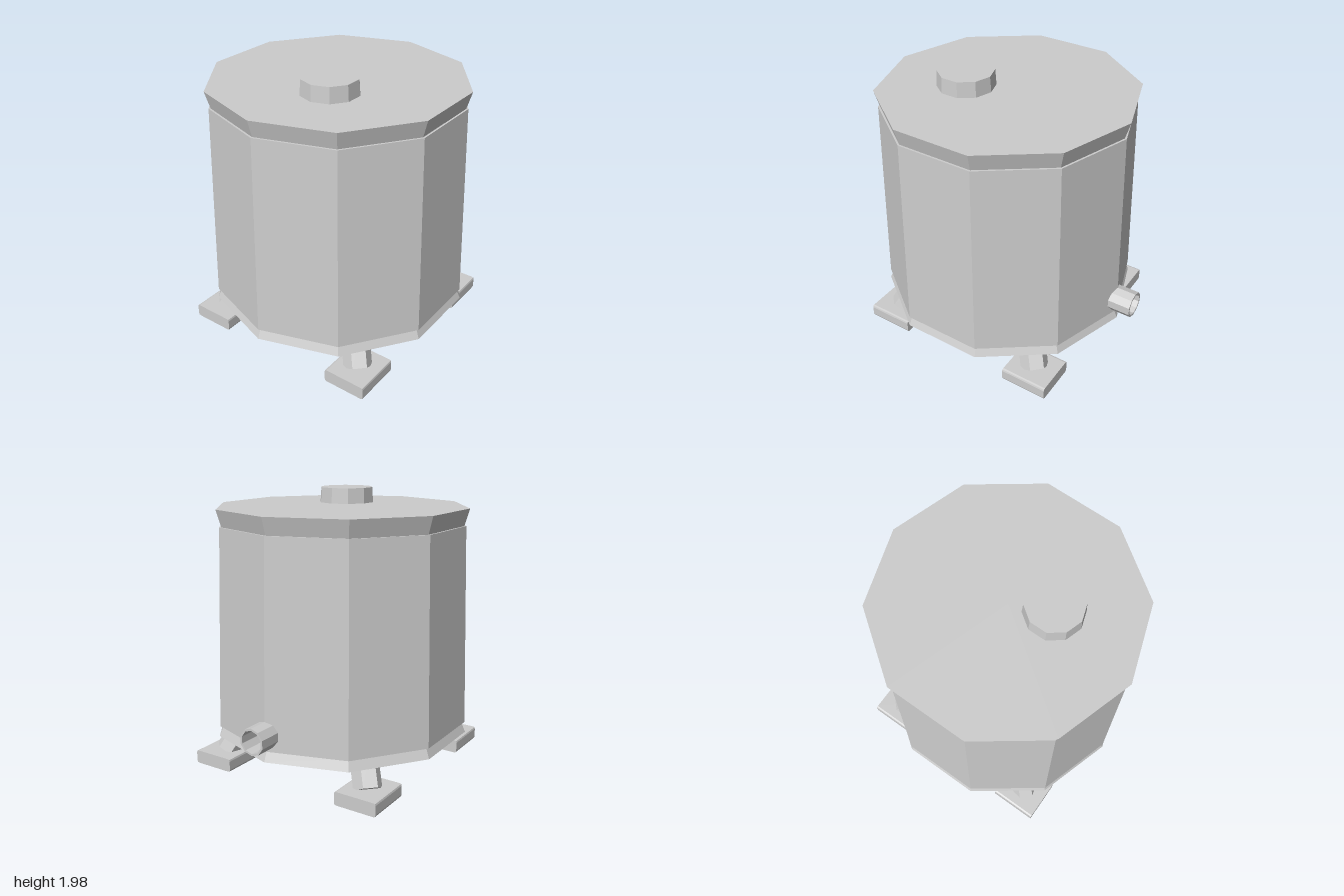
import * as THREE from 'three';

const CX = -0.0625; // tank axis, offset by the outlet pipe
const SIDES = 10;

const steel = new THREE.MeshStandardMaterial({ color: 0xcccccc, flatShading: true });
steel.name = 'light grey steel';

function add(parent, name, geometry, x = 0, y = 0, z = 0) {
  const mesh = new THREE.Mesh(geometry, steel);
  mesh.name = name;
  mesh.position.set(x, y, z);
  parent.add(mesh);
  return mesh;
}

// Ten-sided frustum between two heights, with a corner on the x axis
function drum(rBottom, rTop, y0, y1) {
  return new THREE.CylinderGeometry(rTop, rBottom, y1 - y0, SIDES, 1, false, Math.PI / 2)
    .translate(0, (y0 + y1) / 2, 0);
}

// Foot pad: rounded section in z/y, extruded along x
function padGeometry(w, h, d, r) {
  const a = d / 2;
  const s = new THREE.Shape();
  s.moveTo(-a + r, 0);
  s.lineTo(a - r, 0);
  s.quadraticCurveTo(a, 0, a, r);
  s.lineTo(a, h - r);
  s.quadraticCurveTo(a, h, a - r, h);
  s.lineTo(-a + r, h);
  s.quadraticCurveTo(-a, h, -a, h - r);
  s.lineTo(-a, r);
  s.quadraticCurveTo(-a, 0, -a + r, 0);
  return new THREE.ExtrudeGeometry(s, { depth: w, bevelEnabled: false, curveSegments: 2 })
    .translate(0, 0, -w / 2)
    .rotateY(Math.PI / 2);
}

export function createModel() {
  const model = new THREE.Group();
  model.name = 'storageTank';

  // Tapered tank with flared rims at both ends
  add(model, 'bottomRim', drum(0.937, 0.905, 0.25, 0.325), CX);
  add(model, 'tankBody', drum(0.93, 0.884, 0.325, 1.75), CX);
  add(model, 'topRim', drum(0.87, 0.905, 1.75, 1.87), CX);

  // Filler cap on the lid
  add(model, 'fillerCap', drum(0.203, 0.195, 1.86, 1.98), -0.323, 0, 0.125);

  // Hollow outlet pipe pointing to +x
  const profile = [[0.08, 0.22], [0.08, 0], [0.095, 0], [0.095, 0.22], [0.08, 0.22]]
    .map(([r, y]) => new THREE.Vector2(r, y));
  const pipe = new THREE.LatheGeometry(profile, SIDES, Math.PI / 2).rotateZ(-Math.PI / 2);
  add(model, 'outletPipe', pipe, 0.78, 0.437, 0);

  // Four splayed hexagonal legs, each on a flat pad
  const pad = padGeometry(0.345, 0.097, 0.316, 0.016);
  const legLength = 0.36;
  const leg = new THREE.CylinderGeometry(0.1, 0.1, legLength, 6, 1, false, Math.PI / 6)
    .translate(0, legLength / 2, 0)
    .rotateX(-0.58)
    .translate(0, 0.08, 0.855);
  for (const sx of [-1, 1]) {
    for (const sz of [-1, 1]) {
      const name = (sz > 0 ? 'front' : 'back') + (sx > 0 ? 'Left' : 'Right');
      add(model, name + 'Pad', pad, CX + sx * 0.605, 0, sz * 0.607);
      add(model, name + 'Leg', leg, CX).rotation.y = Math.atan2(sx, sz);
    }
  }
  return model;
}
